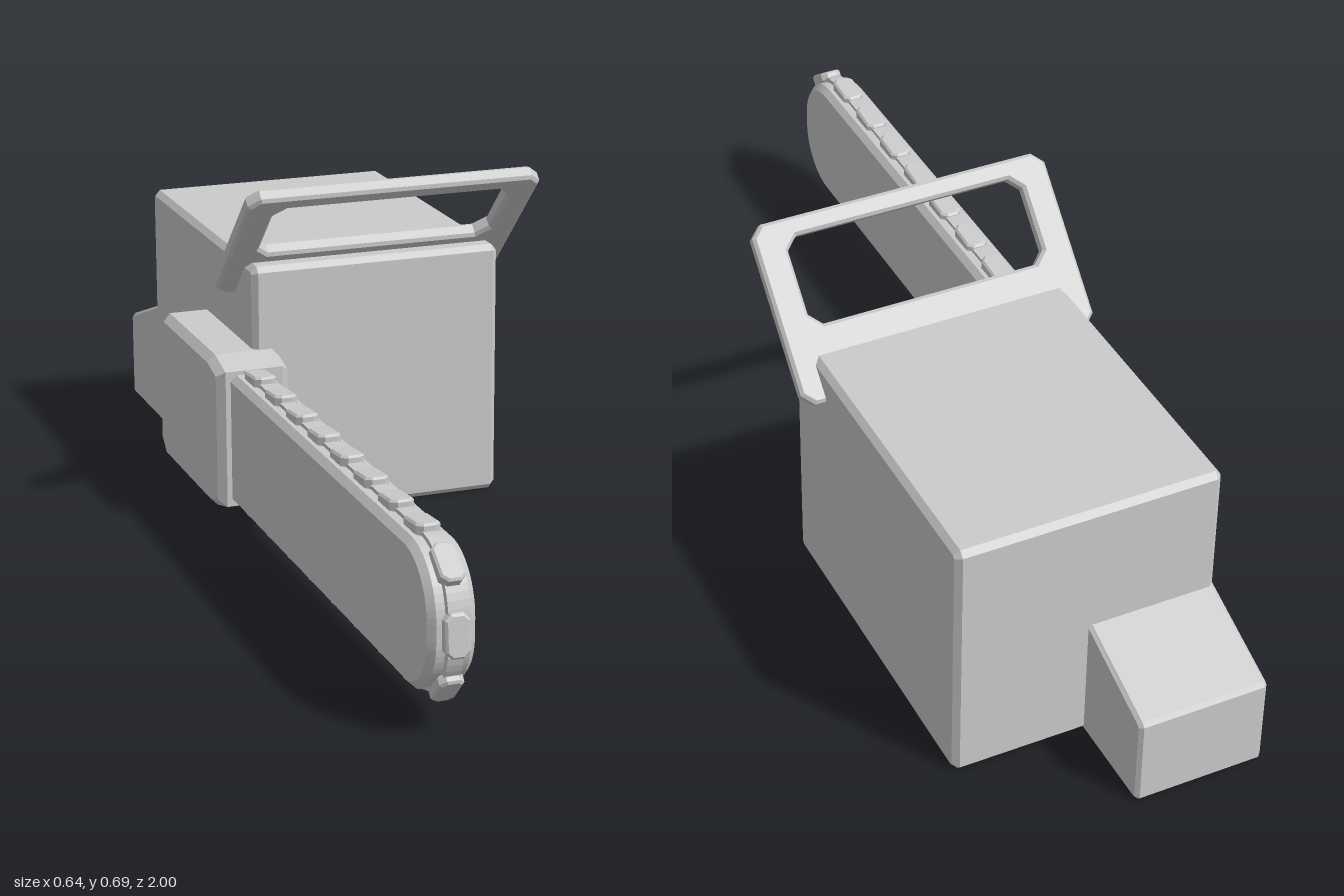
import * as THREE from 'three';

const material = new THREE.MeshStandardMaterial({ color: 0xcccccc, flatShading: true });

function add(group, name, geometry) {
  const mesh = new THREE.Mesh(geometry, material);
  mesh.name = name;
  group.add(mesh);
  return mesh;
}

// Extrude with a single chamfer that stays inside the outline and depth
function chamferExtrude(shape, depth, b) {
  const g = new THREE.ExtrudeGeometry(shape, {
    depth: depth - 2 * b, curveSegments: 7, bevelEnabled: b > 0,
    bevelSize: b, bevelOffset: -b, bevelThickness: b, bevelSegments: 1,
  });
  return g.translate(0, 0, b);
}

// Side profile drawn in (z, y), extruded across x from x0 to x1
function sideSlab(shape, x0, x1, b) {
  return chamferExtrude(shape, x1 - x0, b).rotateY(-Math.PI / 2).translate(x1, 0, 0);
}

const polygon = (pts) => pts.map(([x, y]) => new THREE.Vector2(x, y));

// Rectangle with cut corners
function cutRect(x0, x1, y0, y1, c) {
  return polygon([
    [x0 + c, y0], [x1 - c, y0], [x1, y0 + c], [x1, y1 - c],
    [x1 - c, y1], [x0 + c, y1], [x0, y1 - c], [x0, y0 + c],
  ]);
}

// Long outline with a rounded nose at z1, left open at the rear
function nosePath(target, z0, z1, y0, y1, r) {
  target.moveTo(z0, y0);
  target.lineTo(z1 - r, y0);
  target.absarc(z1 - r, y0 + r, r, -Math.PI / 2, 0, false);
  target.lineTo(z1, y1 - r);
  target.absarc(z1 - r, y1 - r, r, 0, Math.PI / 2, false);
  target.lineTo(z0, y1);
  return target;
}

// One chain link: cut-corner plate whose top slopes along its length
function linkGeometry() {
  const g = chamferExtrude(new THREE.Shape(cutRect(-0.038, 0.038, -0.022, 0.022, 0.011)), 0.026, 0.004);
  g.translate(0, 0, -0.013);
  const p = g.attributes.position;
  for (let i = 0; i < p.count; i++) {
    if (p.getZ(i) > 0) p.setZ(i, p.getZ(i) - (p.getX(i) + 0.038) * 0.09);
  }
  g.computeVertexNormals();
  return g;
}

export function createModel() {
  const model = new THREE.Group();
  model.name = 'chainsaw';

  // Engine housing and sloped rear grip block
  add(model, 'engineHousing',
    sideSlab(new THREE.Shape(cutRect(-0.805, -0.13, 0, 0.508, 0.011)), -0.229, 0.278, 0.011));
  add(model, 'rearBlock', sideSlab(new THREE.Shape(polygon([
    [-0.993, 0], [-0.76, 0], [-0.76, 0.268], [-0.993, 0.184], [-1, 0.176], [-1, 0.007],
  ])), -0.229, 0.022, 0.007));

  // Clutch cover on the side, tapering towards the bar
  add(model, 'clutchCover', sideSlab(new THREE.Shape(polygon([
    [-0.468, 0.075], [-0.433, 0.04], [-0.13, 0.04], [-0.065, 0.057],
    [-0.065, 0.328], [-0.13, 0.345], [-0.433, 0.345], [-0.468, 0.31],
  ])), -0.322, -0.178, 0.015));

  // Guide bar
  add(model, 'guideBar',
    sideSlab(nosePath(new THREE.Shape(), -0.12, 0.972, 0.061, 0.32, 0.115), -0.297, -0.213, 0.012));

  // Chain: a narrow band around the bar with evenly spaced links
  const chain = new THREE.Group();
  chain.name = 'chain';
  model.add(chain);
  add(chain, 'chainBand',
    sideSlab(nosePath(new THREE.Shape(), -0.12, 0.985, 0.055, 0.327, 0.12), -0.269, -0.241, 0));

  const path = nosePath(new THREE.Path(), -0.07, 0.985, 0.055, 0.327, 0.12);
  const link = linkGeometry();
  const count = Math.round(path.getLength() / 0.117);
  for (let i = 0; i < count; i++) {
    const u = (i + 0.5) / count;
    const p = path.getPointAt(u);
    const t = path.getTangentAt(u);
    const along = new THREE.Vector3(0, t.y, t.x);
    const out = new THREE.Vector3(0, -t.x, t.y);
    const across = new THREE.Vector3().crossVectors(out, along);
    const mesh = add(chain, 'chainLink', link);
    mesh.quaternion.setFromRotationMatrix(new THREE.Matrix4().makeBasis(along, across, out));
    mesh.position.set(-0.255, p.y, p.x);
  }

  // Front handle: a framed plate leaning forward at 45 degrees
  const frame = new THREE.Shape(cutRect(-0.27, 0.32, -0.17, 0.17, 0.022));
  frame.holes.push(new THREE.Path(cutRect(-0.212, 0.262, -0.033, 0.134, 0.023).reverse()));
  const handle = add(model, 'frontHandle', chamferExtrude(frame, 0.03, 0.006).translate(0, 0, -0.015));
  handle.rotation.x = Math.PI / 4;
  handle.position.set(0, 0.559, -0.14);

  return model;
}
